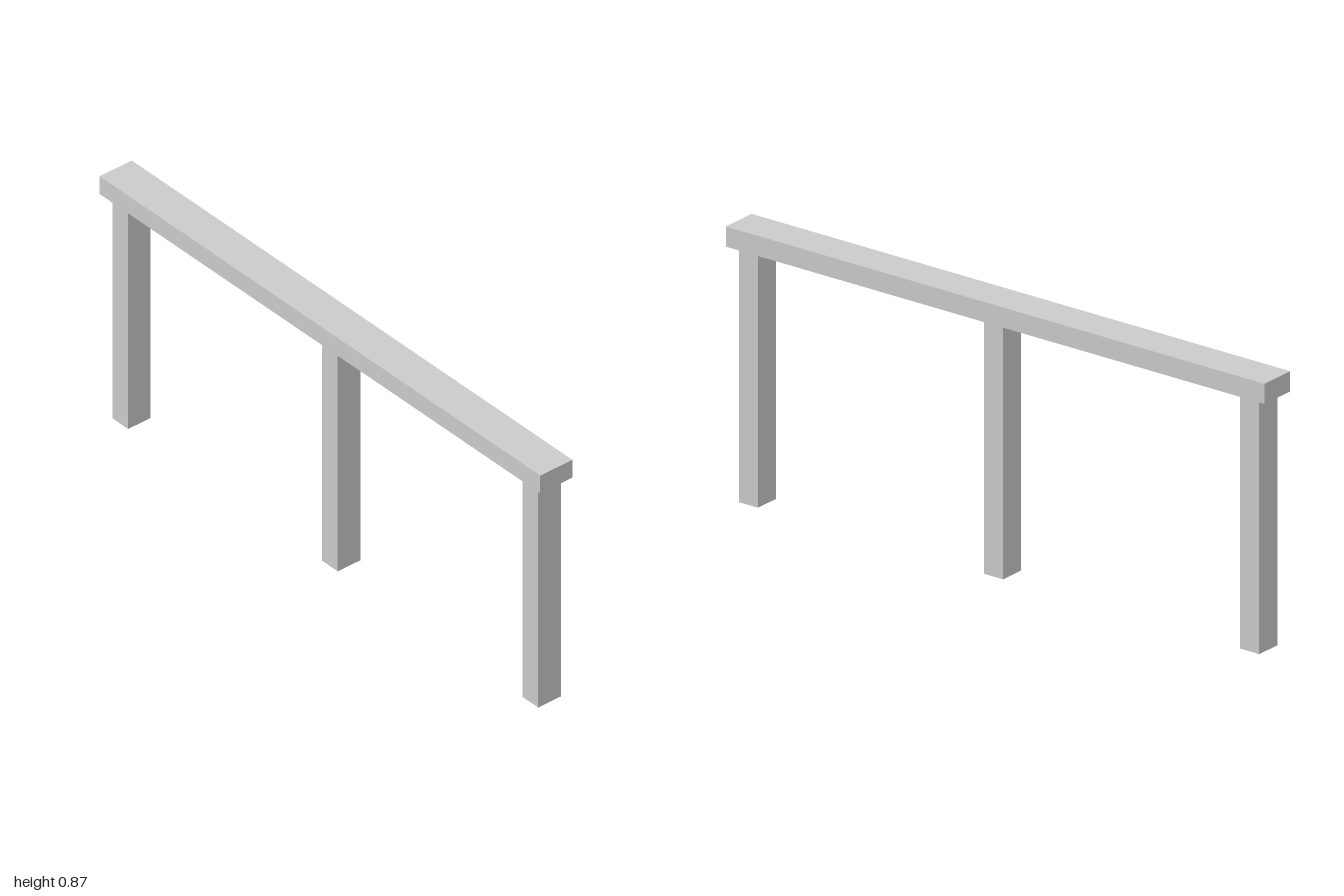
import * as THREE from 'three';

export function createModel() {
  const group = new THREE.Group();
  const solid = new THREE.MeshStandardMaterial({ color: 0xcccccc, flatShading: true });
  const openSided = new THREE.MeshStandardMaterial({ color: 0xcccccc, flatShading: true, side: THREE.DoubleSide });

  const postHeight = 0.804, railHeight = 0.064;

  // Long top rail
  const rail = new THREE.Mesh(new THREE.BoxGeometry(2, railHeight, 0.124), solid);
  rail.name = 'topRail';
  rail.position.y = postHeight + railHeight / 2;
  group.add(rail);

  // Hollow square post, open at the ends: a four-sided tube scaled to size
  const postGeometry = new THREE.CylinderGeometry(Math.SQRT1_2, Math.SQRT1_2, 1, 4, 1, true)
    .rotateY(Math.PI / 4)
    .scale(0.071, postHeight, 0.087);

  // Three posts, set slightly behind the rail's centre line
  const posts = { rightPost: -0.937, middlePost: 0.014, leftPost: 0.924 };
  for (const [name, x] of Object.entries(posts)) {
    const post = new THREE.Mesh(postGeometry, openSided);
    post.name = name;
    post.position.set(x, postHeight / 2, -0.008);
    group.add(post);
  }
  return group;
}
